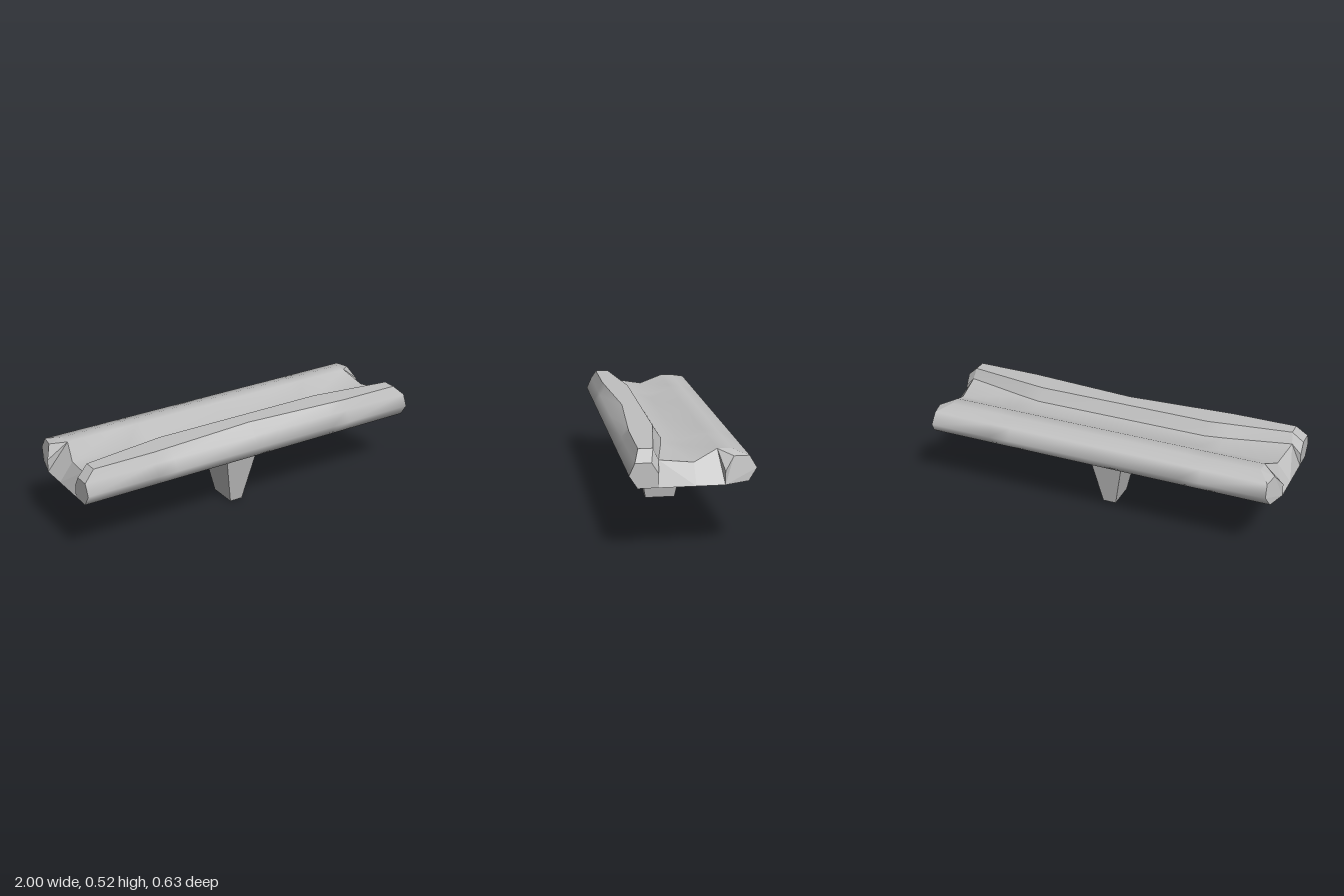
import * as THREE from 'three';

// Lengthwise lines of the body: end [x, z, y], then optional z and y at |x| = 0.6, 0.49 and 0
const line = (x, z, y, zs = [z, z, z], ys = [y, y, y]) => ({ end: [x, z, y], zs, ys });
const topFront = line(0.94, 0.262, 0.522, [0.26, 0.253, 0.22]);
const topInner = line(0.94, 0.19, 0.522, [0.141, 0.125, 0.125]);
const foot = line(0.95, 0.165, 0.466, [0.1, 0.083, 0.083], [0.457, 0.455, 0.455]);

// Smooth skin running around the front, underside, back and trough
const wrap = [
  topFront, line(1, 0.285, 0.467), line(1, 0.313, 0.406), line(1, 0.272, 0.343),
  line(1, 0.17, 0.343), line(1, -0.15, 0.343), line(0.97, -0.27, 0.35),
  line(0.955, -0.313, 0.41), line(0.95, -0.277, 0.471), line(0.89, -0.197, 0.495),
  line(0.89, -0.13, 0.495), line(0.925, -0.01, 0.441), foot,
];

function pointAt(l, i) {
  const side = i < 3 ? -1 : 1;
  const k = 3 - Math.abs(i - 3); // 0 = end, 3 = centre
  if (k === 0) return [side * l.end[0], l.end[2], l.end[1]];
  return [side * [0.6, 0.49, 0][k - 1], l.ys[k - 1], l.zs[k - 1]];
}

// Skin over neighbouring lines, with shared smooth normals
function skin(lines) {
  const pos = [], index = [];
  lines.forEach((l) => { for (let i = 0; i < 7; i++) pos.push(...pointAt(l, i)); });
  for (let j = 0; j < lines.length - 1; j++) {
    for (let i = 0; i < 6; i++) {
      const a = j * 7 + i, b = a + 7;
      index.push(a, b, a + 1, b, b + 1, a + 1);
    }
  }
  const g = new THREE.BufferGeometry();
  g.setAttribute('position', new THREE.Float32BufferAttribute(pos, 3));
  g.setIndex(index);
  g.computeVertexNormals();
  return g;
}

// Flat polygons given as [x, z, y] corners, mirrored for the other end
function facets(polys, side) {
  const pos = [];
  for (const p of polys) {
    for (let i = 1; i < p.length - 1; i++) {
      const tri = side > 0 ? [p[0], p[i], p[i + 1]] : [p[0], p[i + 1], p[i]];
      tri.forEach(([x, z, y]) => pos.push(side * x, y, z));
    }
  }
  const g = new THREE.BufferGeometry();
  g.setAttribute('position', new THREE.Float32BufferAttribute(pos, 3));
  g.computeVertexNormals();
  return g;
}

export function createModel() {
  const group = new THREE.Group();
  const grey = new THREE.MeshStandardMaterial({ color: 0xc0c0c0 });
  grey.name = 'light grey';
  const add = (name, geometry) => {
    const mesh = new THREE.Mesh(geometry, grey);
    mesh.name = name;
    group.add(mesh);
  };

  // Long body with a raised front ridge
  add('bodyShell', skin(wrap));
  add('ridgeInnerSlope', skin([foot, topInner]));
  add('ridgeTop', skin([topInner, topFront]));

  // Shared corners of the body ends
  const q = [1, 0.205, 0.467], w = [1, 0.17, 0.41], wb = [1, 0.17, 0.343];
  const f = wrap[1].end, trough = wrap[11].end, rim = wrap[10].end, crest = wrap[9].end;
  const mid = [1, -0.01, 0.343], rb = wrap[5].end, rw = [1, -0.15, 0.41], rt = [0.965, -0.197, 0.475];
  const frontEnd = [
    [q, f, wrap[2].end, wrap[3].end, wb, w],
    [f, q, topInner.end, topFront.end],
    [q, w, foot.end, topInner.end],
    [foot.end, w, wb],
  ];
  const troughEnd = [[foot.end, wb, mid, trough], [trough, mid, rb, rim]];
  const rearEnd = [
    [rb, wrap[6].end, wrap[7].end, wrap[8].end, rt, rw],
    [rt, wrap[8].end, crest],
    [rim, rb, rw, rt, crest],
  ];
  for (const side of [1, -1]) {
    const label = side > 0 ? 'left' : 'right';
    add(label + 'FrontEnd', facets(frontEnd, side));
    add(label + 'TroughEnd', facets(troughEnd, side));
    add(label + 'RearEnd', facets(rearEnd, side));
  }

  // Tapered stem below the body
  const stem = new THREE.BoxGeometry(1, 1, 1);
  const p = stem.attributes.position;
  for (let i = 0; i < p.count; i++) {
    const top = p.getY(i) > 0;
    p.setXYZ(
      i,
      Math.sign(p.getX(i)) * (top ? 0.105 : 0.037),
      top ? 0.345 : 0,
      p.getZ(i) > 0 ? (top ? 0.163 : 0.098) : (top ? -0.127 : -0.064),
    );
  }
  stem.computeVertexNormals();
  add('stem', stem);
  return group;
}
